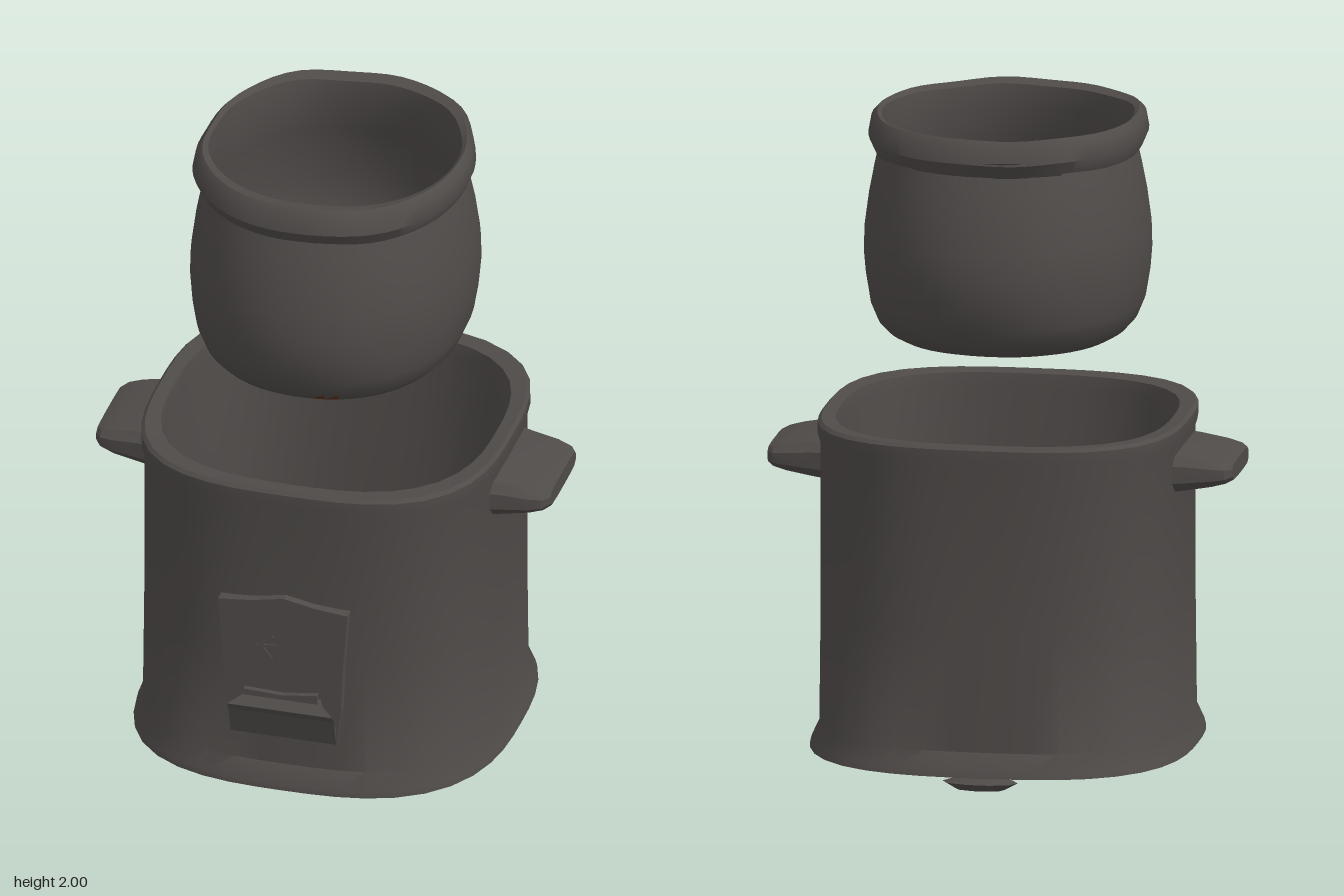
import * as THREE from 'three';
import { toCreasedNormals } from 'three/addons/utils/BufferGeometryUtils.js';

const material = (name, color) => {
  const m = new THREE.MeshStandardMaterial({ color });
  m.name = name;
  return m;
};

// Skin through rounded-square rings: [y, half width x, half depth z, centre z, squareness, wobble].
// Rings run up the outside and then down the inside; isSecond picks faces for the second material.
function loft(rings, segments, isSecond = () => false, crease = 0.6) {
  const pos = [], first = [], second = [];
  for (const [y, rx, rz, cz, n, wobble = 0] of rings) {
    for (let j = 0; j < segments; j++) {
      const a = (j / segments) * Math.PI * 2, c = Math.cos(a), s = Math.sin(a);
      const k = Math.pow(Math.abs(c) ** n + Math.abs(s) ** n, -1 / n);
      const w = wobble * (Math.sin(a * 5 + 0.6) + 0.6 * Math.sin(a * 9 + 2));
      pos.push(rx * c * k * (1 + w), y + w * 0.4, cz + rz * s * k * (1 + w));
    }
  }
  const centre = (t, o) => (pos[t[0] * 3 + o] + pos[t[1] * 3 + o] + pos[t[2] * 3 + o]) / 3;
  for (let i = 0; i < rings.length - 1; i++) {
    for (let j = 0; j < segments; j++) {
      const a = i * segments + j, b = i * segments + ((j + 1) % segments);
      const c = a + segments, d = b + segments;
      for (const t of [[a, c, b], [b, c, d]]) {
        (isSecond(centre(t, 0), centre(t, 1), centre(t, 2), i) ? second : first).push(...t);
      }
    }
  }
  const g = new THREE.BufferGeometry();
  g.setAttribute('position', new THREE.Float32BufferAttribute(pos, 3));
  g.setIndex([...first, ...second]);
  g.addGroup(0, first.length, 0);
  if (second.length) g.addGroup(first.length, second.length, 1);
  return toCreasedNormals(g, crease);
}

// Plate from an x-y outline, extruded towards +z
function plate(points, depth) {
  const shape = new THREE.Shape(points.map(p => new THREE.Vector2(...p)));
  return new THREE.ExtrudeGeometry(shape, { depth, bevelEnabled: false });
}

export function createModel() {
  const group = new THREE.Group();
  const iron = material('darkIron', 0x4f4b49);
  const rust = material('rustBrown', 0x5e3117);
  const add = (name, geometry, mat = iron, parent = group) => {
    const mesh = new THREE.Mesh(geometry, mat);
    mesh.name = name;
    parent.add(mesh);
    return mesh;
  };

  // Hollow cooker body with flared foot ring and thick rim
  add('cookerBody', loft([
    [0.065, 0.001, 0.001, -0.01, 2],
    [0.065, 0.58, 0.592, -0.012, 2.8],
    [0.085, 0.575, 0.588, -0.01, 2.8],
    [0.135, 0.55, 0.55, -0.01, 3],
    [0.5, 0.546, 0.546, -0.01, 3],
    [1.0, 0.546, 0.546, -0.01, 3],
    [1.03, 0.555, 0.55, -0.01, 3],
    [1.065, 0.555, 0.55, -0.01, 3],
    [1.075, 0.545, 0.54, -0.01, 3],
    [1.07, 0.505, 0.49, -0.013, 2.8],
    [1.03, 0.497, 0.485, -0.013, 2.8],
    [0.13, 0.495, 0.485, -0.013, 2.8],
    [0.12, 0.001, 0.001, -0.013, 2],
  ], 44));

  // Side handles, wide at the root and tapering to the tip
  for (const side of [-1, 1]) {
    const rings = [
      [0.52, 0.066, 0.2], [0.57, 0.06, 0.19], [0.65, 0.045, 0.183],
      [0.69, 0.035, 0.17], [0.71, 0.027, 0.14],
    ].map(([x, h, w]) => [x, h, w, 0, 5]);
    rings.push([0.71, 0.001, 0.001, 0, 2]);
    const handle = add(side > 0 ? 'leftHandle' : 'rightHandle', loft(rings, 16, undefined, 0.5));
    // Stand the stacked rings along the x axis
    handle.rotation.z = -side * Math.PI / 2;
    handle.position.set(0, 0.932, -0.012);
  }

  // Three lens-shaped feet
  [[-0.41, 0.24, 0.05, 0.09], [0.41, 0.24, 0.05, 0.09], [0, -0.495, 0.115, 0.05]].forEach(([x, z, rx, rz], i) => {
    const foot = add('foot' + (i + 1), loft([
      [0, 0.001, 0.001, 0, 2],
      [0.008, rx * 0.65, rz * 0.65, 0, 2.2],
      [0.03, rx, rz, 0, 2.2],
      [0.045, rx * 0.6, rz * 0.6, 0, 2.2],
      [0.07, rx * 0.35, rz * 0.35, 0, 2.2],
    ], 10, undefined, 0.3));
    foot.position.set(x, 0, z);
  });

  // Front control panel
  const panel = new THREE.Group();
  panel.name = 'controlPanel';
  group.add(panel);
  const backPlate = plate([
    [-0.17, 0.24], [0.165, 0.24], [0.18, 0.36], [0.185, 0.5], [0.2, 0.69],
    [0.1, 0.7], [0, 0.72], [-0.1, 0.7], [-0.205, 0.69], [-0.19, 0.5], [-0.18, 0.36],
  ], 0.06);
  add('panelPlate', backPlate, iron, panel).position.z = 0.502;
  add('panelRecessFrame', plate([[-0.12, 0.4], [0, 0.395], [0.11, 0.41], [0.11, 0.37], [-0.12, 0.37]], 0.03), iron, panel).position.z = 0.55;

  // Lever below the panel: side profile extruded across x
  const lever = plate([[-0.53, 0.24], [-0.53, 0.4], [-0.575, 0.385], [-0.605, 0.355], [-0.588, 0.33], [-0.563, 0.24]], 0.33);
  lever.rotateY(Math.PI / 2);
  const lp = lever.attributes.position;
  for (let i = 0; i < lp.count; i++) {
    const taper = lp.getY(i) > 0.37 ? 0.7 : 1;
    lp.setX(i, (lp.getX(i) - 0.165) * taper);
  }
  lever.computeVertexNormals();
  add('cookLever', lever, iron, panel);

  // Faint raised pointer mark on the panel
  for (const [y, angle] of [[0.55, 0.12], [0.565, 0.7], [0.53, -0.9]]) {
    const mark = add('pointerMark', new THREE.BoxGeometry(0.06, 0.008, 0.006), iron, panel);
    mark.position.set(-0.055, y, 0.563);
    mark.rotation.z = angle;
  }

  // Pot hovering above the body, with rusty patches under its base
  const isRust = (x, y, z, ring) => {
    if (ring > 7) return false;
    const edge = 0.24 + 0.04 * Math.sin(Math.atan2(z, x) * 4 + 1);
    const base = Math.hypot(x, z) < edge;
    const frontLobe = z > 0 && x > -0.12 && x < 0.32 && y < 1.35 - Math.abs(x - 0.1) * 0.1;
    return base || frontLobe;
  };
  add('innerPot', loft([
    [1.29, 0.001, 0.001, -0.005, 2],
    [1.29, 0.1, 0.12, -0.005, 2.1],
    [1.292, 0.19, 0.22, -0.005, 2.2],
    [1.3, 0.27, 0.31, -0.005, 2.2],
    [1.315, 0.325, 0.37, -0.005, 2.2],
    [1.335, 0.36, 0.41, -0.005, 2.2],
    [1.365, 0.387, 0.44, -0.007, 2.2],
    [1.42, 0.41, 0.47, -0.008, 2.15],
    [1.5, 0.424, 0.488, -0.008, 2.1],
    [1.57, 0.43, 0.493, -0.01, 2.1],
    [1.65, 0.428, 0.485, -0.01, 2.1],
    [1.75, 0.415, 0.462, -0.01, 2.1],
    [1.83, 0.4, 0.437, -0.01, 2.1],
    [1.885, 0.388, 0.415, -0.01, 2.1],
    // Rolled lip
    [1.885, 0.4, 0.435, -0.01, 2.2, 0.012],
    [1.925, 0.417, 0.458, -0.01, 2.2, 0.008],
    [1.975, 0.408, 0.445, -0.01, 2.2, 0.008],
    [1.995, 0.39, 0.425, -0.01, 2.2, 0.006],
    [1.985, 0.378, 0.38, -0.013, 2.15, 0.006],
    [1.92, 0.37, 0.375, -0.013, 2.1],
    [1.8, 0.38, 0.41, -0.01, 2.1],
    [1.6, 0.41, 0.47, -0.01, 2.1],
    [1.45, 0.395, 0.45, -0.008, 2.1],
    [1.36, 0.345, 0.39, -0.005, 2.1],
    [1.32, 0.25, 0.29, -0.005, 2.1],
    [1.31, 0.001, 0.001, -0.005, 2],
  ], 56, isRust, 0.7), [iron, rust]);

  // Small drooping tabs under the lip at front and back
  for (const dir of [-1, 1]) {
    const tab = new THREE.CylinderGeometry(0.43, 0.4, 0.05, 10, 1, true, -0.6, 1.2);
    const mesh = add(dir > 0 ? 'frontLipTab' : 'backLipTab', tab);
    mesh.position.set(0, 1.905, dir * 0.025 - 0.01);
    if (dir < 0) mesh.rotation.y = Math.PI;
  }

  return group;
}
